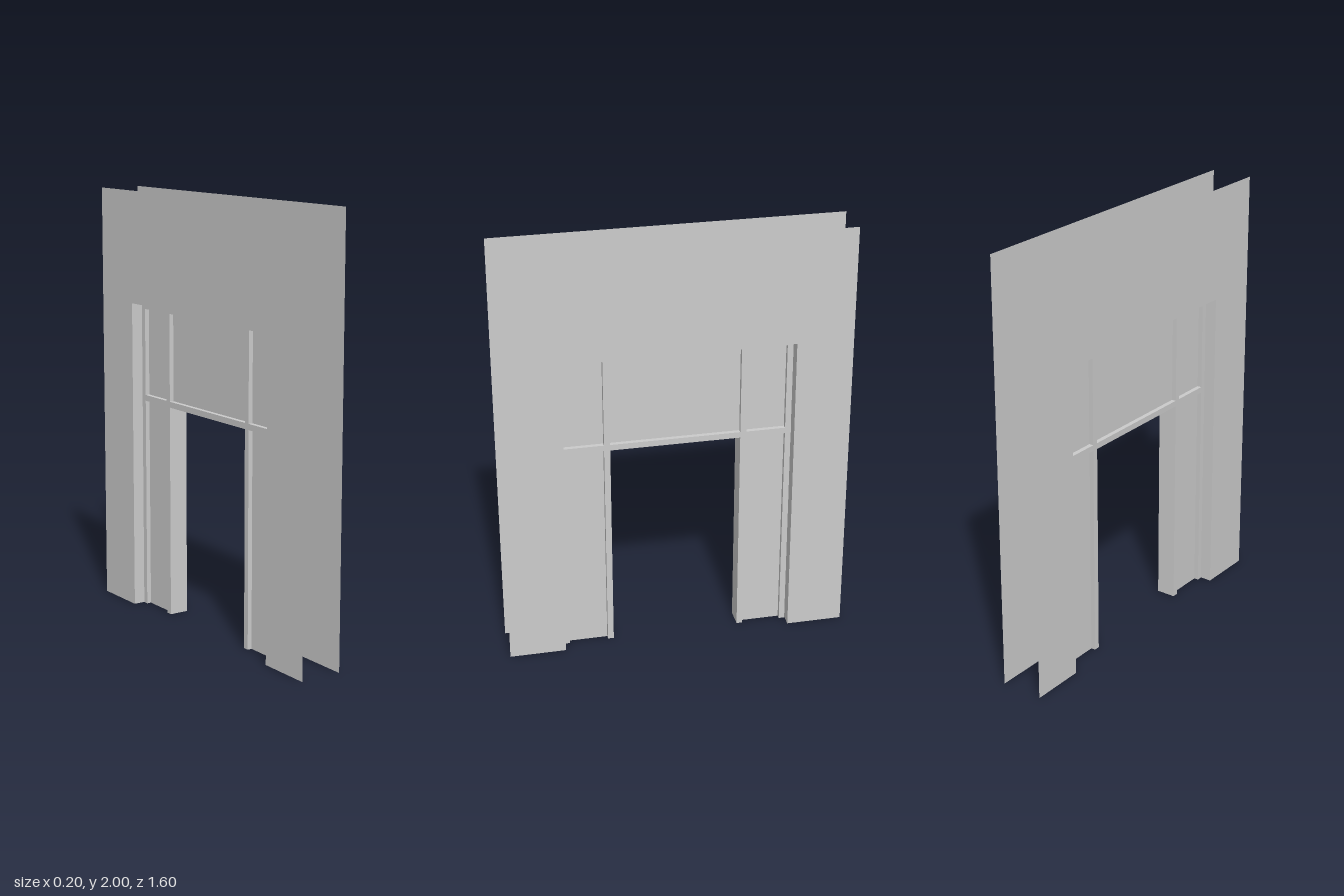
import * as THREE from 'three';

const WALL = { halfWidth: 0.8, height: 2, x: 0.1 };
const OPENING = { halfWidth: 0.538, height: 1.473 };
const BAR = 0.028;         // visible width of a frame bar
const BAR_DEPTH = 0.092;
const PANEL_DEPTH = 0.05;
const DOOR = { halfWidth: 0.3, height: 1.005 };

const solid = new THREE.MeshStandardMaterial({ color: 0xcccccc });
const sheet = new THREE.MeshStandardMaterial({ color: 0xcccccc, side: THREE.DoubleSide });

export function createModel() {
  const model = new THREE.Group();

  // Box spanning z0..z1 and y0..y1, centred in the wall thickness
  const box = (parent, name, z0, z1, y0, y1, depth) => {
    const mesh = new THREE.Mesh(new THREE.BoxGeometry(depth, y1 - y0, Math.abs(z1 - z0)), solid);
    mesh.position.set(0, (y0 + y1) / 2, (z0 + z1) / 2);
    mesh.name = name;
    parent.add(mesh);
  };

  // Two thin wall faces, each an arch-shaped sheet around the opening
  const { halfWidth: w, height: h } = OPENING;
  const outline = [
    [-WALL.halfWidth, 0], [-w, 0], [-w, h], [w, h], [w, 0],
    [WALL.halfWidth, 0], [WALL.halfWidth, WALL.height], [-WALL.halfWidth, WALL.height],
  ].map(([a, b]) => new THREE.Vector2(a, b));
  for (const side of [-1, 1]) {
    const wall = new THREE.Mesh(new THREE.ShapeGeometry(new THREE.Shape(outline)), sheet);
    wall.rotation.y = side * Math.PI / 2;
    wall.position.x = side * WALL.x;
    wall.name = side > 0 ? 'leftWallFace' : 'rightWallFace';
    model.add(wall);
  }

  // Reveal lining the opening: two jambs and a head
  const reveal = new THREE.Group();
  reveal.name = 'reveal';
  for (const side of [-1, 1]) {
    const jamb = new THREE.Mesh(new THREE.PlaneGeometry(2 * WALL.x, h), sheet);
    jamb.position.set(0, h / 2, side * w);
    if (side > 0) jamb.rotation.y = Math.PI;
    jamb.name = side > 0 ? 'frontJamb' : 'backJamb';
    reveal.add(jamb);
  }
  const head = new THREE.Mesh(new THREE.PlaneGeometry(2 * WALL.x, 2 * w), sheet);
  head.rotation.x = Math.PI / 2;
  head.position.y = h;
  head.name = 'revealHead';
  reveal.add(head);
  model.add(reveal);

  // Frame bars and the recessed panels between them
  const frame = new THREE.Group();
  frame.name = 'doorFrame';
  const d = DOOR.halfWidth;
  const transomTop = DOOR.height + BAR;
  const inner = w - BAR;
  const topBar = h - BAR;
  box(frame, 'topRail', -w, w, topBar, h - 0.001, BAR_DEPTH);
  box(frame, 'transom', -w, w, DOOR.height, transomTop, BAR_DEPTH);
  for (const side of [-1, 1]) {
    for (const [y0, y1, level] of [[0, DOOR.height, 'lower'], [transomTop, topBar, 'upper']]) {
      box(frame, level + 'OuterPost', side * inner, side * (w - 0.001), y0, y1, BAR_DEPTH);
      box(frame, level + 'Mullion', side * d, side * (d + BAR), y0, y1, BAR_DEPTH);
      box(frame, level + 'SidePanel', side * (d + BAR), side * inner, y0, y1, PANEL_DEPTH);
    }
  }
  box(frame, 'overdoorPanel', -d, d, transomTop, topBar, PANEL_DEPTH);
  model.add(frame);

  return model;
}
